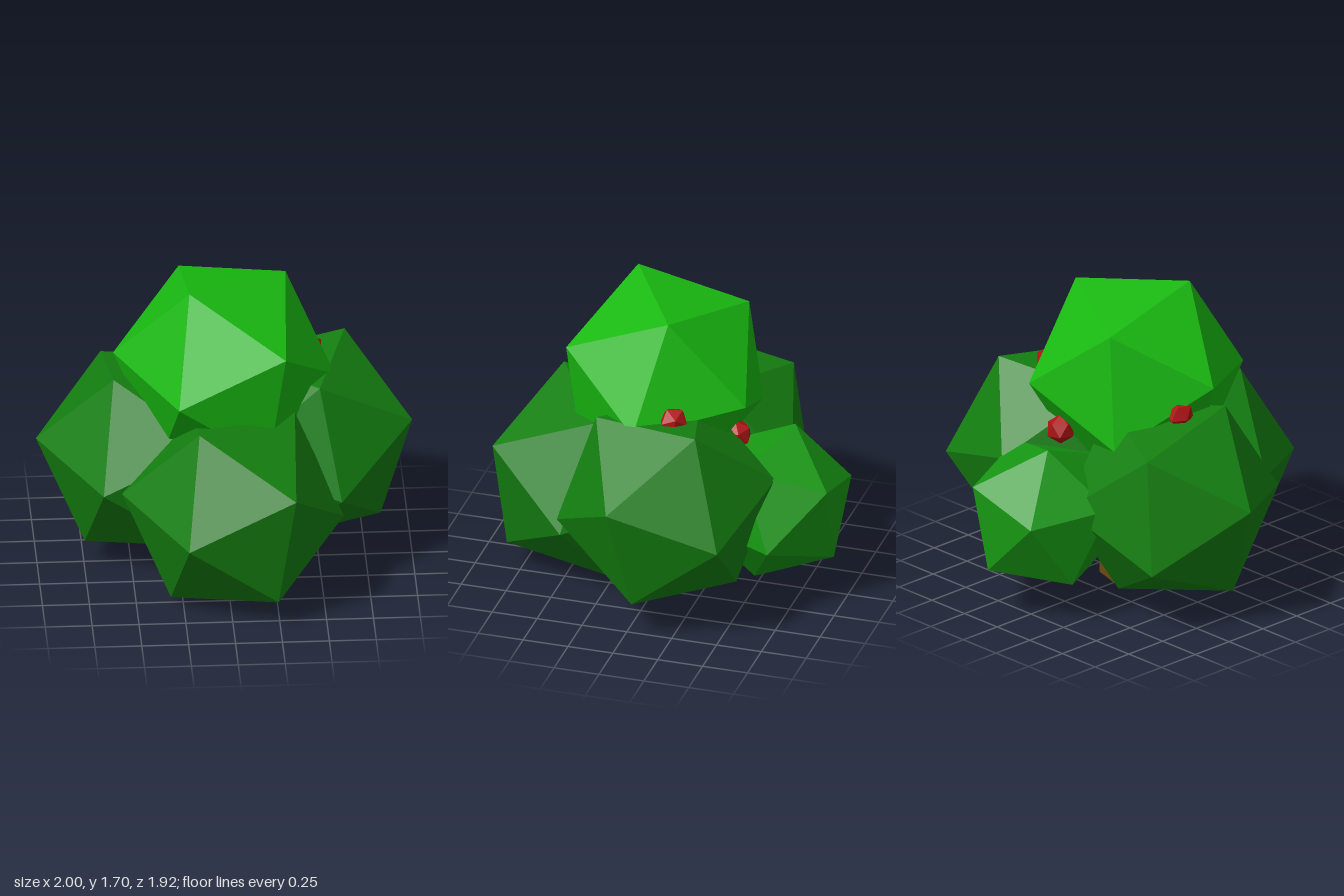
import * as THREE from 'three';

const V = (p) => new THREE.Vector3(...p);

const flat = (color) => new THREE.MeshStandardMaterial({ color, flatShading: true });

// Icosahedron turned so that one of its edges runs from the direction of a to that of b
function blob(name, color, radius, center, a, b) {
  const mesh = new THREE.Mesh(new THREE.IcosahedronGeometry(radius, 0), flat(color));
  const c = V(center);
  const da = V(a).sub(c).normalize();
  const db = V(b).sub(c).normalize();
  const x = db.clone().sub(da).normalize();
  const y = da.clone().add(db).normalize();
  const z = x.clone().cross(y);
  mesh.quaternion.setFromRotationMatrix(new THREE.Matrix4().makeBasis(x, y, z));
  mesh.position.copy(c);
  mesh.name = name;
  return mesh;
}

export function createModel() {
  const bush = new THREE.Group();
  bush.name = 'berryBush';

  // Foliage clumps: name, color, radius, center, two neighbouring corners
  const clumps = [
    ['topFoliage', 0x18b810, 0.597, [-0.005, 1.177, 0.022], [-0.20, 1.70, 0.23], [0.33, 1.655, -0.10]],
    ['frontFoliage', 0x147f10, 0.598, [0.02, 0.535, 0.425], [-0.24, 0.53, 0.96], [0.33, 0.77, 0.88]],
    ['leftFoliage', 0x147f10, 0.597, [0.445, 0.665, -0.125], [1.0, 0.82, 0.04], [0.66, 1.17, -0.35]],
    ['rightFoliage', 0x147f10, 0.597, [-0.41, 0.613, -0.104], [-1.0, 0.70, -0.09], [-0.60, 1.14, 0.11]],
    ['backFoliage', 0x169612, 0.437, [0.047, 0.535, -0.608], [0.235, 0.725, -0.955], [-0.21, 0.606, -0.955]],
  ];
  for (const clump of clumps) bush.add(blob(...clump));

  // Berries tucked between the clumps
  const berries = [[0.46, 1.155, -0.17], [-0.475, 1.12, -0.11], [0.115, 0.94, -0.42]];
  berries.forEach((p, i) => {
    const berry = new THREE.Mesh(new THREE.IcosahedronGeometry(0.08, 0), flat(0xb01414));
    berry.position.set(...p);
    berry.rotation.set(0.4 + i, 0.7 * i, 0.3);
    berry.name = 'berry' + (i + 1);
    bush.add(berry);
  });

  // Square trunk, slightly tapered and leaning
  const trunkShape = new THREE.CylinderGeometry(0.12, 0.15, 0.6, 4).rotateY(Math.PI / 4).translate(0, 0.3, 0);
  const trunk = new THREE.Mesh(trunkShape, flat(0x6b4a12));
  trunk.rotation.set(0, -0.337, -0.05, 'ZYX');
  trunk.position.set(0.025, 0.008, -0.025);
  trunk.name = 'trunk';
  bush.add(trunk);

  return bush;
}
